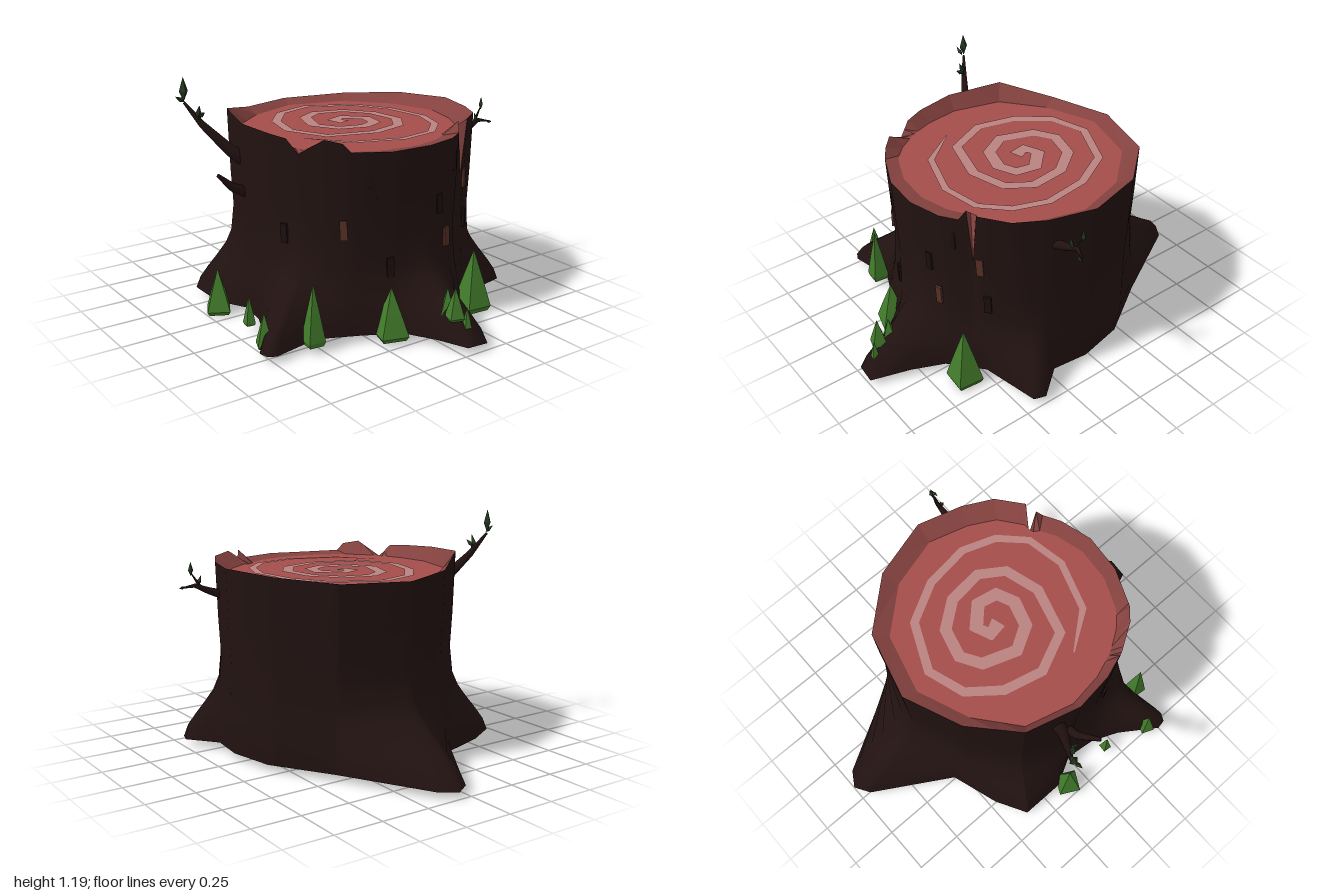
import * as THREE from 'three';

const V = (x, y, z) => new THREE.Vector3(x, y, z);
const CX = 0.03, CZ = -0.05, DISC_Y = 0.91;

const mat = (color, opts = {}) => new THREE.MeshStandardMaterial({ color, roughness: 1, ...opts });
const bark = mat(0x211211, { side: THREE.DoubleSide });
const wood = mat(0xa54d4b, { flatShading: true, side: THREE.DoubleSide });
const rimWood = mat(0x84423f, { flatShading: true, side: THREE.DoubleSide });
const ringWood = mat(0xba8280);
const lightChip = mat(0x553026), darkChip = mat(0x1b0f0d);
const grass = mat(0x427c2b, { flatShading: true });
const leafMat = mat(0x22361d, { flatShading: true });

// Upper outline of the trunk: x, height, z
const RIM = [
  [0.655, 0.925, -0.05], [0.635, 0.92, 0.15], [0.555, 0.925, 0.33], [0.53, 0.965, 0.36], [0.47, 0.98, 0.42],
  [0.36, 0.9, 0.49], [0.3, 0.965, 0.515], [0.2, 0.975, 0.55], [0, 0.985, 0.575], [-0.28, 1.0, 0.5],
  [-0.47, 0.945, 0.27], [-0.59, 0.935, -0.03], [-0.5, 0.94, -0.37], [-0.26, 0.96, -0.58], [0.04, 0.97, -0.665],
  [0.27, 0.97, -0.6], [0.42, 0.975, -0.52], [0.52, 0.98, -0.39], [0.52, 0.7, -0.355], [0.53, 0.98, -0.325],
  [0.56, 0.93, -0.305], [0.61, 0.925, -0.22],
].map(p => V(p[0] - CX, p[1], p[2] - CZ));

// Ground outline with the root tips: x, z
const BASE = [
  [1, -0.13], [0.99, -0.02], [0.84, 0.04], [0.7, 0.12], [0.6, 0.3], [0.51, 0.5], [0.56, 0.74], [0.54, 0.78],
  [0.49, 0.79], [0.3, 0.66], [0.16, 0.6], [0, 0.58], [-0.15, 0.66], [-0.38, 0.66], [-0.47, 0.5], [-0.55, 0.25],
  [-0.95, 0.01], [-1, -0.07], [-0.95, -0.15], [-0.5, -0.4], [-0.2, -0.59], [0.04, -0.64], [0.23, -0.62],
  [0.38, -0.74], [0.44, -0.72], [0.5, -0.42], [0.64, -0.26], [0.8, -0.19],
].map(p => V(p[0] - CX, 0.04, p[1] - CZ));

// Height, root flare and waist at each level
const LEVELS = [
  [0.04, 1, 1], [0.1, 0.88, 1], [0.16, 0.66, 1], [0.22, 0.45, 0.99], [0.29, 0.22, 0.98],
  [0.36, 0.07, 0.975], [0.5, 0, 0.97], [0.68, 0, 0.985],
];

// Point where a ray from the trunk centre meets an outline
function hit(outline, a) {
  const dx = Math.cos(a), dz = Math.sin(a);
  const cross = p => p.x * dz - p.z * dx;
  for (let i = 0; i < outline.length; i++) {
    const p = outline[i], q = outline[(i + 1) % outline.length];
    const cp = cross(p), cq = cross(q);
    if (cp >= -1e-9 && cq <= 1e-9 && cp - cq > 1e-9 && (p.x + q.x) * dx + (p.z + q.z) * dz > 0)
      return p.clone().lerp(q, cp / (cp - cq));
  }
  return outline[0].clone();
}

const place = p => V(p.x + CX, p.y, p.z + CZ);
function barkPoint(a, y, flare, waist) {
  const p = hit(RIM, a).lerp(hit(BASE, a), flare).multiplyScalar(waist);
  p.y = y;
  return place(p);
}

// Skin over closed rings of points
function loft(rows) {
  const n = rows[0].length, idx = [];
  for (let i = 0; i < rows.length - 1; i++)
    for (let j = 0; j < n; j++) {
      const k = (j + 1) % n, a = i * n + j, b = a + n, c = i * n + k, d = c + n;
      idx.push(a, b, d, a, d, c);
    }
  const g = new THREE.BufferGeometry().setFromPoints(rows.flat());
  g.setIndex(idx);
  g.computeVertexNormals();
  return g;
}

function add(parent, name, geo, material) {
  const m = new THREE.Mesh(geo, material);
  m.name = name;
  parent.add(m);
  return m;
}

// Flat strip along a path, pointed at its start
function ribbon(pts, y, w0, w1) {
  const v = [], idx = [];
  pts.forEach(([x, z], i) => {
    const p = pts[Math.max(i - 1, 0)], q = pts[Math.min(i + 1, pts.length - 1)];
    const tx = q[0] - p[0], tz = q[1] - p[1], l = Math.hypot(tx, tz);
    const w = THREE.MathUtils.lerp(w0, w1, i / (pts.length - 1)) / 2 * (i ? 1 : 0.2);
    v.push(V(x - tz / l * w, y, z + tx / l * w), V(x + tz / l * w, y, z - tx / l * w));
    if (i) idx.push(2 * i - 2, 2 * i, 2 * i - 1, 2 * i - 1, 2 * i, 2 * i + 1);
  });
  const g = new THREE.BufferGeometry().setFromPoints(v);
  g.setIndex(idx);
  g.computeVertexNormals();
  return g;
}

// Tapered twig through a few points
function twig(parent, name, pts, r0, r1) {
  const rows = pts.map((p, i) => {
    const dir = V(...pts[Math.min(i + 1, pts.length - 1)]).sub(V(...pts[Math.max(i - 1, 0)])).normalize();
    const q = new THREE.Quaternion().setFromUnitVectors(V(0, 1, 0), dir);
    const r = THREE.MathUtils.lerp(r0, r1, i / (pts.length - 1));
    return Array.from({ length: 6 }, (_, k) =>
      V(Math.cos(k * Math.PI / 3) * r, 0, Math.sin(k * Math.PI / 3) * r).applyQuaternion(q).add(V(...p)));
  });
  rows.push(Array.from({ length: 6 }, () => V(...pts[pts.length - 1])));
  add(parent, name, loft(rows), bark);
}

function leaf(parent, x, y, z, h, tilt = 0, lean = 0) {
  const g = new THREE.LatheGeometry([[0, -0.5], [0.2, -0.08], [0, 0.5]].map(p => new THREE.Vector2(...p)), 4);
  const m = add(parent, 'leaf', g, leafMat);
  m.scale.set(h, h, h);
  m.position.set(x, y, z);
  m.rotation.set(lean, 0, tilt);
}

export function createModel() {
  const model = new THREE.Group();
  model.name = 'treeStump';

  // Hollow trunk with flared roots, open at the ground
  const angles = [...RIM, ...BASE].map(p => Math.atan2(p.z, p.x)).sort((a, b) => a - b)
    .filter((a, i, all) => !i || a - all[i - 1] > 0.004);
  const rows = LEVELS.map(([y, f, w]) => angles.map(a => barkPoint(a, y, f, w)));
  const rim = angles.map(a => place(hit(RIM, a)));
  add(model, 'trunk', loft([...rows, rim]), bark);

  // Cut top: sloping rim and flat disc
  const inner = rim.map(p => V(CX + (p.x - CX) * 0.88, DISC_Y, CZ + 0.02 + (p.z - CZ) * 0.89));
  add(model, 'rim', loft([rim, inner]), rimWood);
  add(model, 'cutFace', loft([inner, angles.map(() => V(CX, DISC_Y, CZ))]), wood);

  // Spiral growth ring
  const spiral = [
    [0.18, 0.34], [0.37, 0.2], [0.455, -0.05], [0.42, -0.25], [0.3, -0.37], [0.13, -0.43], [-0.1, -0.4],
    [-0.3, -0.29], [-0.41, -0.05], [-0.35, 0.14], [-0.2, 0.26], [0, 0.31], [0.2, 0.22], [0.27, -0.02],
    [0.22, -0.2], [0.1, -0.28], [-0.08, -0.26], [-0.21, -0.16], [-0.25, -0.01], [-0.19, 0.09], [-0.02, 0.15],
    [0.1, 0.08], [0.14, -0.05], [0.1, -0.14], [0, -0.16], [-0.09, -0.07], [-0.06, 0], [0.01, -0.02],
  ];
  add(model, 'growthRing', ribbon(spiral, DISC_Y + 0.006, 0.034, 0.075), ringWood);

  // Bark chips on the left side: z, y, light or dark
  [[0.34, 0.55, 1], [-0.2, 0.44, 1], [-0.41, 0.68, 1], [0.23, 0.75, 0], [-0.14, 0.62, 0], [-0.28, 0.8, 0],
    [0.15, 0.36, 0], [0.52, 0.5, 0], [-0.44, 0.46, 0]].forEach(([z, y, light]) => {
    const a = Math.asin((z - CZ) / 0.62);
    const chip = add(model, 'barkChip', new THREE.BoxGeometry(0.035, 0.095, 0.012), light ? lightChip : darkChip);
    chip.position.copy(barkPoint(a, y, y < 0.45 ? 0.06 : 0, 0.985));
    chip.rotation.set(0, Math.PI / 2 - a, 0.05);
  });

  // Front and back twigs with leaves
  const front = new THREE.Group();
  front.name = 'frontTwigs';
  twig(front, 'branch', [[-0.08, 0.77, 0.5], [-0.11, 0.83, 0.58], [-0.18, 0.96, 0.69], [-0.23, 1.07, 0.76]], 0.042, 0.006);
  twig(front, 'sideShoot', [[-0.19, 0.97, 0.7], [-0.17, 1.02, 0.71]], 0.01, 0.004);
  twig(front, 'stub', [[-0.04, 0.6, 0.48], [-0.03, 0.67, 0.62], [0.02, 0.755, 0.72]], 0.036, 0.01);
  leaf(front, -0.23, 1.135, 0.76, 0.12);
  leaf(front, -0.18, 1.025, 0.71, 0.08, -0.4);
  leaf(front, -0.16, 1.015, 0.7, 0.06, -1);
  leaf(front, -0.22, 1.09, 0.785, 0.06, 0, 1);
  const back = new THREE.Group();
  back.name = 'backTwig';
  twig(back, 'branch', [[0.23, 0.8, -0.56], [0.22, 0.835, -0.66], [0.22, 0.87, -0.74], [0.24, 0.86, -0.8]], 0.028, 0.003);
  twig(back, 'sideShoot', [[0.22, 0.86, -0.71], [0.21, 0.93, -0.76]], 0.009, 0.003);
  leaf(back, 0.21, 0.955, -0.765, 0.07);
  leaf(back, 0.23, 0.89, -0.71, 0.06, 0, 0.4);
  leaf(back, 0.25, 0.86, -0.79, 0.04, 0, 1.4);
  model.add(front, back);

  // Grass tufts, the last two inside the hollow: x, base y, z, width, height, turn
  const tuft = new THREE.LatheGeometry([[0, 0], [0.42, 0], [0.5, 0.08], [0.28, 0.5], [0, 1]].map(p => new THREE.Vector2(...p)), 4);
  [[0.61, 0.01, -0.385, 0.19, 0.32, 0.7], [0.67, 0.025, 0.18, 0.19, 0.255, 0.5], [0.545, 0.035, 0.535, 0.12, 0.305, 0.7],
    [0.44, 0.04, 0.735, 0.1, 0.17, 0.4], [0.19, 0.04, 0.67, 0.065, 0.15, 0.7], [-0.1, 0.005, 0.68, 0.16, 0.235, 0.3],
    [0.82, 0.14, -0.035, 0.09, 0.14, 0.2], [0.88, 0.14, -0.03, 0.1, 0.16, 0.5], [0.925, 0.1, -0.065, 0.05, 0.11, 0.6],
    [-0.25, 0.11, 0.46, 0.1, 0.14, 0.3], [-0.58, 0.1, 0.12, 0.06, 0.14, 0.5],
  ].forEach(([x, y, z, w, h, turn]) => {
    const t = add(model, 'grassTuft', tuft, grass);
    t.position.set(x, y, z);
    t.scale.set(w, h, w);
    t.rotation.y = turn;
  });
  return model;
}
